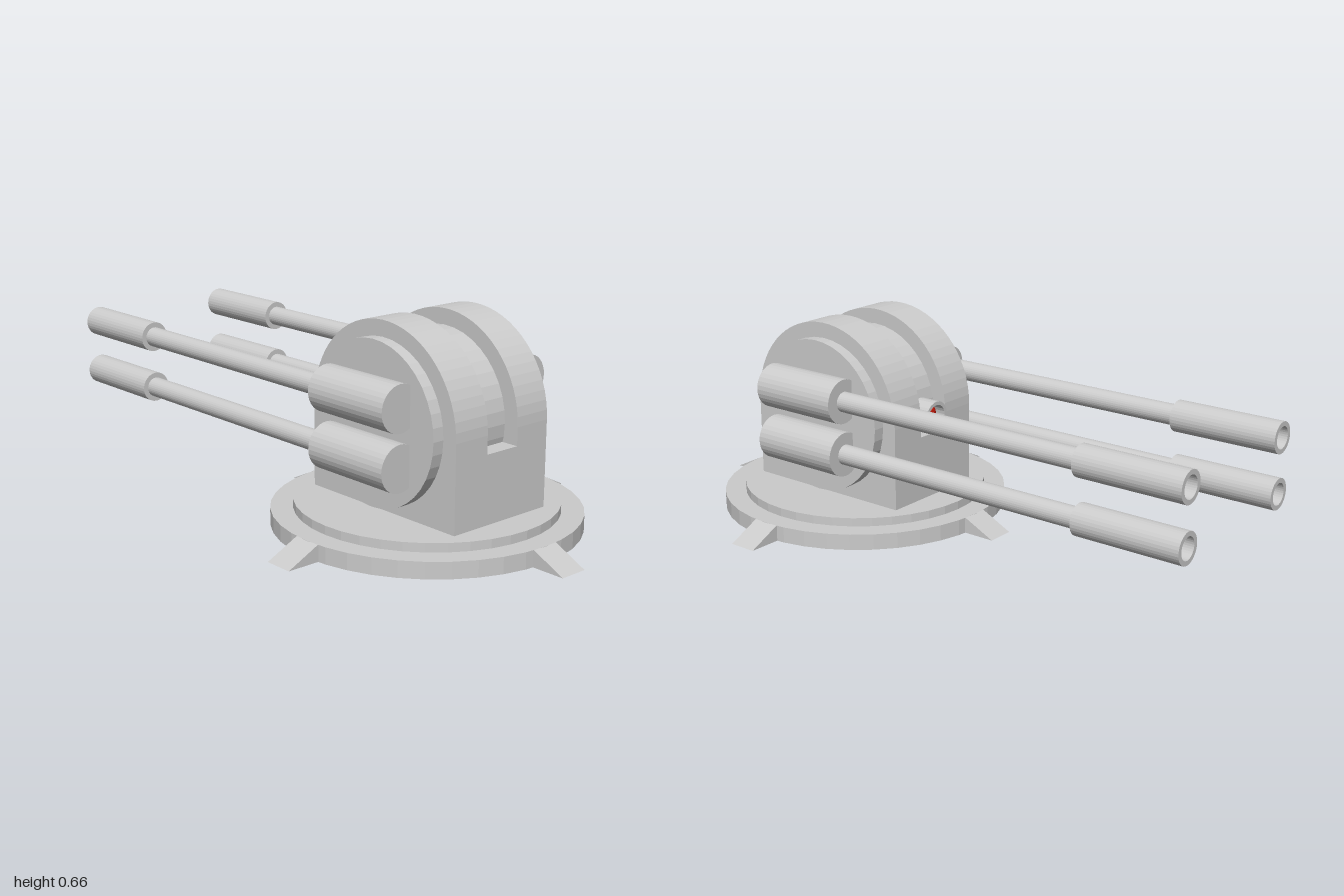
import * as THREE from 'three';

const grey = new THREE.MeshStandardMaterial({ color: 0xcccccc, flatShading: true });
const red = new THREE.MeshStandardMaterial({ color: 0xcc1a0a, flatShading: true });

const CX = 0.415; // turret axis
const HALF = 0.305; // arch radius
const PIVOT = 0.352; // height of the pivot

function add(parent, name, geometry, x, y, z, material = grey) {
  const mesh = new THREE.Mesh(geometry, material);
  mesh.name = name;
  mesh.position.set(x, y, z);
  parent.add(mesh);
  return mesh;
}

// Turned part whose profile runs along -x
function turned(points, segments = 32) {
  const profile = points.map(([r, l]) => new THREE.Vector2(r, l));
  return new THREE.LatheGeometry(profile, segments).rotateZ(Math.PI / 2);
}

function extrude(shape, depth) {
  return new THREE.ExtrudeGeometry(shape, { depth, bevelEnabled: false, curveSegments: 16 });
}

export function createModel() {
  const model = new THREE.Group();
  model.name = 'gunTurret';

  // Stepped round base
  add(model, 'baseDisc', new THREE.CylinderGeometry(0.48, 0.48, 0.052, 40), CX, 0.026, 0);
  add(model, 'baseStep', new THREE.CylinderGeometry(0.41, 0.41, 0.03, 40), CX, 0.065, 0);

  // Four sloping feet around the base
  const wedge = new THREE.Shape();
  wedge.moveTo(0.44, 0);
  wedge.lineTo(0.585, 0);
  wedge.lineTo(0.478, 0.052);
  wedge.lineTo(0.44, 0.052);
  const wedgeGeometry = extrude(wedge, 0.094).translate(0, 0, -0.047);
  for (let i = 0; i < 4; i++) {
    add(model, 'foot', wedgeGeometry, CX, 0, 0).rotation.y = i * Math.PI / 2;
  }

  // Two arched housing plates with a slot between them
  const arch = new THREE.Shape();
  arch.moveTo(-HALF, 0.075);
  arch.lineTo(HALF, 0.075);
  arch.lineTo(HALF, PIVOT);
  arch.absarc(0, PIVOT, HALF, 0, Math.PI, false);
  const archGeometry = extrude(arch, 0.128);
  add(model, 'housingLeft', archGeometry, CX, 0, 0.063);
  add(model, 'housingRight', archGeometry, CX, 0, -0.191);
  add(model, 'slotFloor', new THREE.BoxGeometry(HALF * 2, 0.22, 0.126), CX, 0.185, 0);

  // Pivot drum through the housing
  add(model, 'pivotDrum', new THREE.CylinderGeometry(0.255, 0.255, 0.46, 40).rotateX(Math.PI / 2), CX, PIVOT, 0);

  // Sensor in the slot: hollow ring with a domed lens
  add(model, 'sensorRing', turned([[0.053, 0], [0.053, 0.14], [0.041, 0.14], [0.041, 0.09], [0, 0.09]], 24), 0.235, PIVOT, 0);
  add(model, 'sensorLens', turned([[0.041, 0], [0.034, 0.014], [0.02, 0.024], [0, 0.028]], 24), 0.14, PIVOT, 0, red);

  // Four guns: breech, thin barrel and hollow muzzle
  const gun = turned([
    [0, 0], [0.073, 0], [0.073, 0.318], [0.033, 0.318], [0.033, 1.223],
    [0.05, 1.223], [0.05, 1.575], [0.035, 1.575], [0.035, 1.45], [0, 1.45],
  ]);
  for (const z of [0.267, -0.267]) {
    for (const y of [0.437, 0.26]) add(model, 'gun', gun, 0.575, y, z);
  }
  return model;
}
